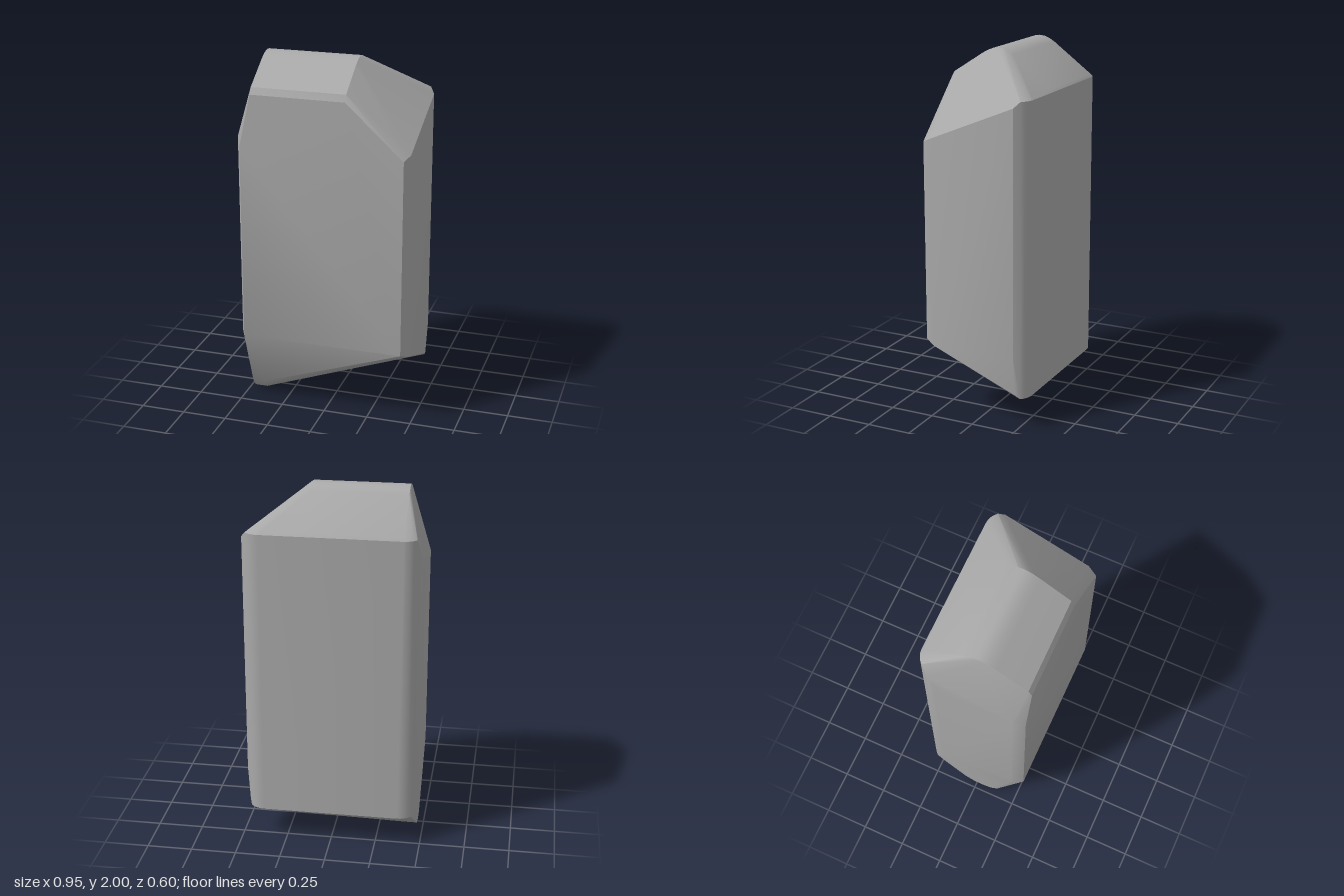
import * as THREE from 'three';
import { ConvexGeometry } from 'three/addons/geometries/ConvexGeometry.js';
import { toCreasedNormals } from 'three/addons/utils/BufferGeometryUtils.js';

export function createModel() {
  const group = new THREE.Group();
  group.name = 'rock';
  const stone = new THREE.MeshStandardMaterial({ color: 0xa8a8a8 });
  stone.name = 'stone grey';

  const points = [];
  const add = (x, y, z) => points.push(new THREE.Vector3(x, y, z));

  // rounded roof ridge: one [z, y] profile at both ends
  const roof = [
    [0.3, 1.82], [0.28, 1.856], [0.11, 1.966], [0.08, 1.983], [0.05, 1.995], [0.02, 2],
    [-0.01, 1.997], [-0.04, 1.986], [-0.07, 1.968], [-0.285, 1.803], [-0.3, 1.785],
  ];
  for (const x of [-0.385, 0.135]) for (const [z, y] of roof) add(x, y, z);

  // rounded keel at the low left end
  const keel = [
    [0.14, 0.07], [0.115, 0.034], [0.085, 0.012], [0.05, 0.002], [0.02, 0],
    [-0.02, 0.004], [-0.05, 0.018], [-0.08, 0.037],
  ];
  for (const x of [-0.465, -0.4]) for (const [z, y] of keel) add(x, y, z);

  // rounded back uprights
  for (const side of [-1, 1]) {
    for (let i = 0; i <= 4; i++) {
      const a = (i / 4) * 0.86;
      const x = side * (0.375 + 0.1 * Math.sin(a));
      const z = -0.2 - 0.1 * Math.cos(a);
      add(x, 1.787, z);
      add(x, 0.178, z);
    }
  }

  // back end of the left face
  add(-0.472, 1.7, -0.235);
  add(-0.48, 1.62, -0.2);
  add(-0.48, 0.35, -0.2);
  add(-0.472, 0.2, -0.2);

  // back end of the right face
  add(0.475, 1.755, -0.235);
  add(0.475, 0.4, -0.235);
  add(0.462, 0.2, -0.24);

  // bevelled front uprights
  for (const y of [1.53, 0.43]) {
    add(-0.45, y, 0.3);
    add(0.45, y, 0.3);
  }
  for (const y of [1.57, 0.43]) add(-0.48, y, 0.24);
  for (const y of [1.555, 0.405]) add(0.475, y, 0.245);

  const body = new THREE.Mesh(toCreasedNormals(new ConvexGeometry(points), 0.48), stone);
  body.name = 'rockBody';
  group.add(body);
  return group;
}
